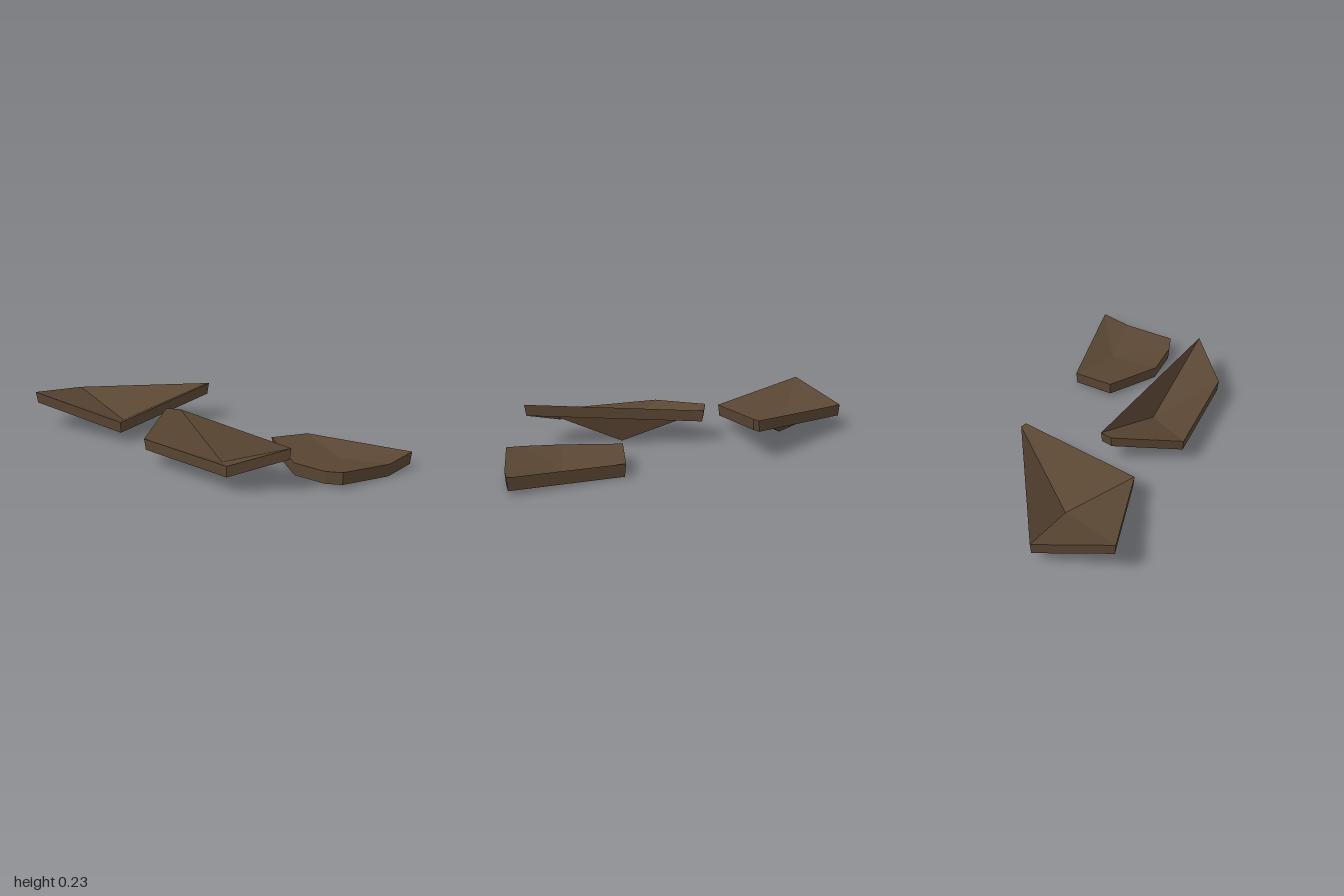
import * as THREE from 'three';

const brown = new THREE.MeshStandardMaterial({
  name: 'bark brown', color: 0x5a4633, flatShading: true, side: THREE.DoubleSide,
});

// Open-bottomed shard: a dished top fanned around a low centre, with a short skirt around the rim
function shard(name, centre, rim, depth = 0.06, taper = 0.98) {
  const positions = [];
  const put = (...points) => points.forEach((p) => positions.push(...p));
  const lower = ([x, y, z]) => [
    centre[0] + (x - centre[0]) * taper, y - depth, centre[2] + (z - centre[2]) * taper,
  ];
  rim.forEach((a, i) => {
    const b = rim[(i + 1) % rim.length];
    put(centre, b, a);
    put(a, b, lower(b), a, lower(b), lower(a));
  });
  const geometry = new THREE.BufferGeometry();
  geometry.setAttribute('position', new THREE.Float32BufferAttribute(positions, 3));
  geometry.computeVertexNormals();
  const mesh = new THREE.Mesh(geometry, brown);
  mesh.name = name;
  return mesh;
}

export function createModel() {
  const group = new THREE.Group();
  group.name = 'shards';

  // Rims run clockwise seen from above, as [x, y, z]
  group.add(shard('rightShard', [-0.64, 0.012, -0.16], [
    [-0.99, 0.13, -0.24], [-0.27, 0.205, -0.46], [-0.25, 0.212, -0.44],
    [-0.45, 0.12, 0.14], [-1.0, 0.203, 0.15],
  ]));
  group.add(shard('middleShard', [0.16, 0.016, 0.14], [
    [-0.21, 0.172, -0.07], [0.625, 0.235, 0.32], [0.365, 0.143, 0.46],
    [-0.17, 0.143, 0.34], [-0.26, 0.187, -0.01],
  ], 0.058));
  group.add(shard('leftShard', [0.66, 0.03, -0.17], [
    [0.41, 0.068, -0.33], [0.997, 0.093, -0.28], [0.94, 0.067, -0.13],
    [0.81, 0.09, 0.14], [0.72, 0.08, 0.145], [0.535, 0.07, 0.095], [0.305, 0.093, -0.12],
  ], 0.065));
  return group;
}
